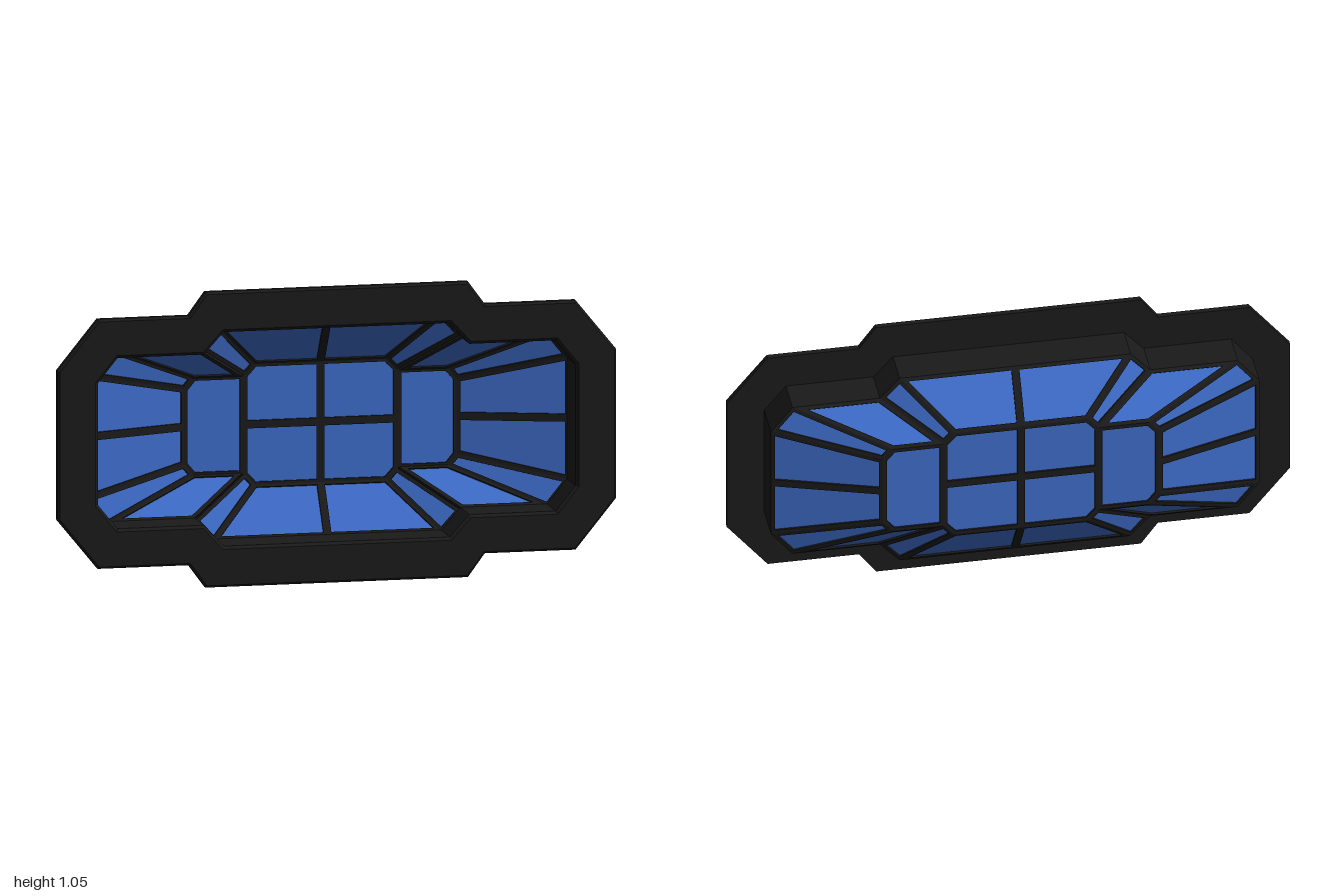
import * as THREE from 'three';
import { mergeGeometries } from 'three/addons/utils/BufferGeometryUtils.js';

const frameMaterial = new THREE.MeshStandardMaterial({ color: 0x1a1a1a, flatShading: true });
const glassMaterial = new THREE.MeshStandardMaterial({ color: 0x3d6bc8, side: THREE.DoubleSide });

// Depths of the layers
const Z_FRONT = 0.14, Z_BEVEL = 0.13, Z_FLANGE_BACK = 0.11, Z_WALL_BACK = -0.02, Z_TOP = -0.14;
const BAR = 0.014, BAR_DEPTH = 0.014;

// One quadrant of each outline, from the side towards the top
const FLANGE = [[1, 0.265], [0.855, 0.443], [0.53, 0.443], [0.47, 0.525]];
const WALL = [[0.867, 0.22], [0.79, 0.315], [0.48, 0.315], [0.41, 0.392]];
const TOP = [[0.49, 0.135], [0.455, 0.1766], [0.275, 0.1766], [0.237, 0.2184]];

// Mirror a quadrant into a full counter-clockwise outline
function fullOutline(q) {
  const r = [...q].reverse();
  return [
    ...q,
    ...r.map(([x, y]) => [-x, y]),
    ...q.map(([x, y]) => [-x, -y]),
    ...r.map(([x, y]) => [x, -y]),
  ];
}

// Move every edge of a counter-clockwise polygon inwards by d
function inset(points, d) {
  const n = points.length;
  return points.map((p, i) => {
    const a = points[(i + n - 1) % n], b = points[(i + 1) % n];
    const l1 = Math.hypot(p[0] - a[0], p[1] - a[1]), l2 = Math.hypot(b[0] - p[0], b[1] - p[1]);
    const n1 = [-(p[1] - a[1]) / l1, (p[0] - a[0]) / l1];
    const n2 = [-(b[1] - p[1]) / l2, (b[0] - p[0]) / l2];
    const k = d / (1 + n1[0] * n2[0] + n1[1] * n2[1]);
    return [p[0] + (n1[0] + n2[0]) * k, p[1] + (n1[1] + n2[1]) * k];
  });
}

// Closed ring: a loop of outlines, each at its own depth
function ringGeometry(section) {
  const pos = [];
  section.forEach(([ring, z], s) => {
    const [next, zNext] = section[(s + 1) % section.length];
    ring.forEach((a, k) => {
      const j = (k + 1) % ring.length;
      const b = ring[j], c = next[j], d = next[k];
      pos.push(...a, z, ...b, z, ...c, zNext, ...a, z, ...c, zNext, ...d, zNext);
    });
  });
  const g = new THREE.BufferGeometry();
  g.setAttribute('position', new THREE.Float32BufferAttribute(pos, 3));
  g.computeVertexNormals();
  return g;
}

// Flat pane: a rim of bars around a recessed sheet of glass
function paneGeometries(corners) {
  let pts = corners.map((p) => new THREE.Vector3(...p));
  const normalOf = (list) => {
    const n = new THREE.Vector3();
    list.forEach((p, i) => n.add(new THREE.Vector3().crossVectors(p, list[(i + 1) % list.length])));
    return n.normalize();
  };
  if (normalOf(pts).z > 0) pts = pts.reverse();
  const n = normalOf(pts), o = pts[0];
  const u = pts[1].clone().sub(o).normalize();
  const v = new THREE.Vector3().crossVectors(n, u).normalize();
  const flat = pts.map((p) => {
    const d = p.clone().sub(o);
    return [d.dot(u), d.dot(v)];
  });
  const toVec = (list) => list.map((p) => new THREE.Vector2(...p));
  const opening = toVec(inset(flat, BAR));
  const rimShape = new THREE.Shape(toVec(flat));
  rimShape.holes.push(new THREE.Path(opening));
  const place = (g, depth) => {
    const m = new THREE.Matrix4().makeBasis(u, v, n);
    m.setPosition(o.clone().addScaledVector(n, -depth));
    return g.applyMatrix4(m);
  };
  return {
    rim: place(new THREE.ExtrudeGeometry(rimShape, { depth: BAR_DEPTH, bevelEnabled: false }), BAR_DEPTH),
    glass: place(new THREE.ShapeGeometry(new THREE.Shape(opening)), BAR_DEPTH / 2),
  };
}

export function createModel() {
  const model = new THREE.Group();
  model.name = 'recessedWindow';
  const body = new THREE.Group();
  body.name = 'windowBody';
  body.position.y = 0.525;
  model.add(body);
  const add = (name, geometry, material) => {
    const mesh = new THREE.Mesh(geometry, material);
    mesh.name = name;
    body.add(mesh);
  };

  const outer = fullOutline(FLANGE), wallOuter = fullOutline(WALL);
  const wallInner = inset(wallOuter, 0.012);

  // Front flange with bevelled edges
  add('flange', ringGeometry([
    [outer, Z_FLANGE_BACK], [outer, Z_BEVEL], [inset(outer, 0.008), Z_FRONT],
    [inset(wallOuter, 0.002), Z_FRONT], [wallInner, Z_BEVEL], [wallInner, Z_FLANGE_BACK],
  ]), frameMaterial);

  // Straight wall behind the flange
  add('wall', ringGeometry([
    [wallOuter, Z_WALL_BACK], [wallOuter, Z_FLANGE_BACK],
    [wallInner, Z_FLANGE_BACK], [wallInner, Z_WALL_BACK],
  ]), frameMaterial);

  // Panes of one quadrant: sloping sides, then the middle
  const W = WALL.map((p) => [...p, Z_WALL_BACK]);
  const T = TOP.map((p) => [...p, Z_TOP]);
  const quadrant = [
    [[T[0][0], 0, Z_TOP], [W[0][0], 0, Z_WALL_BACK], W[0], T[0]],
    ...[0, 1, 2].map((i) => [T[i], W[i], W[i + 1], T[i + 1]]),
    [T[3], W[3], [0, W[3][1], Z_WALL_BACK], [0, T[3][1], Z_TOP]],
    [[0, 0, Z_TOP], [T[2][0], 0, Z_TOP], T[2], T[3], [0, T[3][1], Z_TOP]],
  ];
  // Undivided flat pane at each end of the middle
  const low = ([x, y, z]) => [x, -y, z];
  const endPane = [T[2], low(T[2]), low(T[1]), low(T[0]), T[0], T[1]];

  const panes = [];
  for (const sx of [1, -1]) {
    panes.push(endPane.map(([x, y, z]) => [x * sx, y, z]));
    for (const sy of [1, -1]) {
      quadrant.forEach((pane) => panes.push(pane.map(([x, y, z]) => [x * sx, y * sy, z])));
    }
  }
  const built = panes.map(paneGeometries);
  add('glazingBars', mergeGeometries(built.map((b) => b.rim)), frameMaterial);
  add('glassPanes', mergeGeometries(built.map((b) => b.glass)), glassMaterial);

  return model;
}
